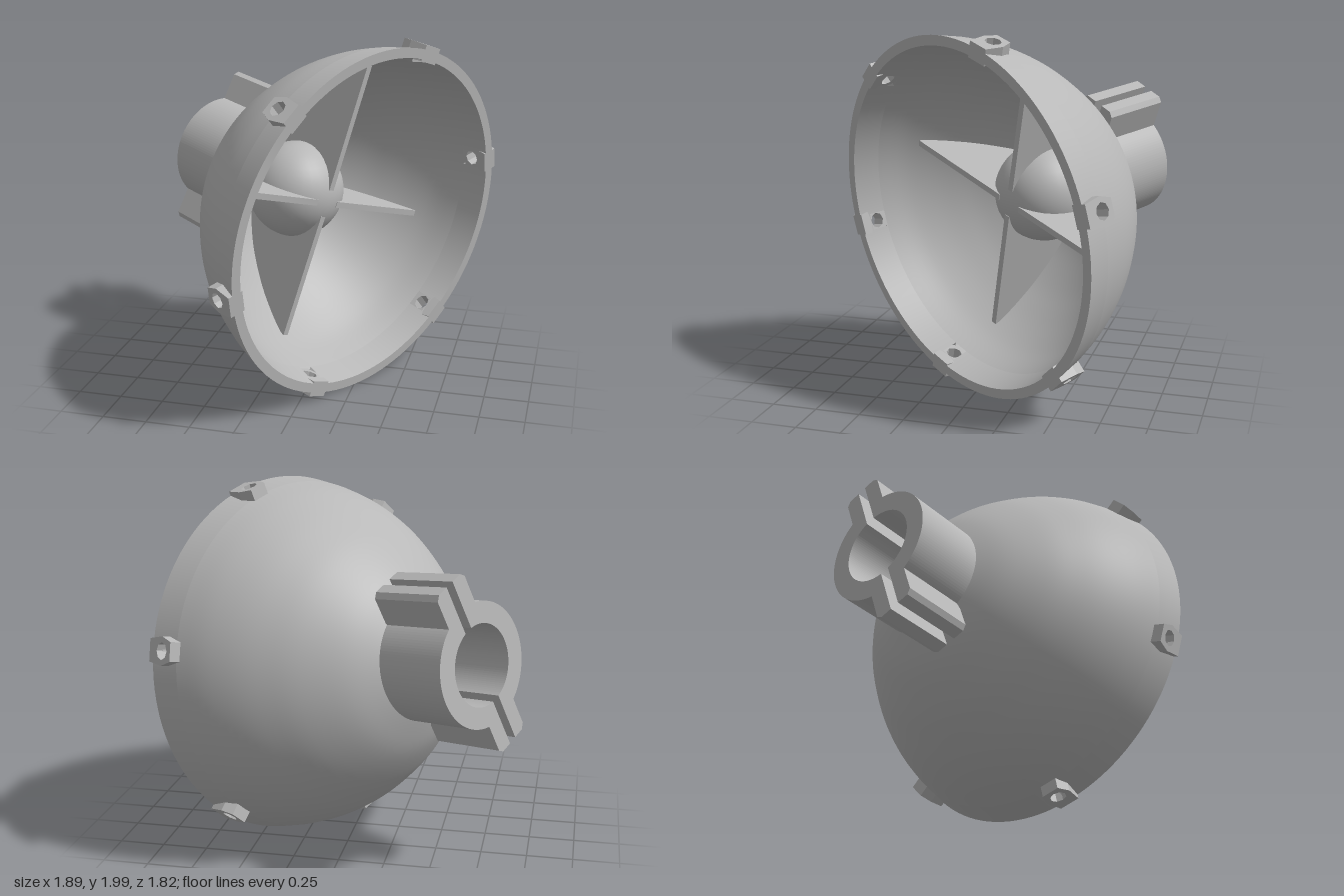
import * as THREE from 'three';

const metal = new THREE.MeshStandardMaterial({ color: 0xb8b8b8, side: THREE.DoubleSide });
metal.name = 'grey metal';
const deg = THREE.MathUtils.degToRad;
const V2 = (x, y) => new THREE.Vector2(x, y);

function part(name, geometry) {
  const mesh = new THREE.Mesh(geometry, metal);
  mesh.name = name;
  return mesh;
}

// Lathe turned so that its axis runs along local z; angles count from local +x.
// Profile edges stay sharp because each stretch is turned on its own.
function turned(name, stretches, start = 0, length = 360) {
  const group = new THREE.Group();
  group.name = name;
  for (const points of stretches) {
    const g = new THREE.LatheGeometry(points, length / 3, deg(start + 90), deg(length));
    g.rotateX(Math.PI / 2);
    group.add(part(name + 'Surface', g));
  }
  return group;
}

// Closed band between two depths behind the rim
const WALL = 0.055;
const rimRadius = (z) => 1 + 0.225 * z;
function band(name, z0, z1, start, length) {
  const a = V2(rimRadius(z0), z0), b = V2(rimRadius(z1), z1);
  const c = V2(b.x - WALL, z1), d = V2(a.x - WALL, z0);
  return turned(name, [[a, b], [b, c], [c, d], [d, a]], start, length);
}

export function createModel() {
  const model = new THREE.Group();
  model.name = 'reflectorLamp';

  // Local frame: z points out of the dish mouth, y is nearly up
  const n = new THREE.Vector3(0.836, -0.12, 0.542).normalize();
  const u = new THREE.Vector3(0, 1, 0).cross(n).normalize();
  const v = new THREE.Vector3().crossVectors(n, u);
  const lamp = new THREE.Group();
  lamp.name = 'lamp';
  lamp.quaternion.setFromRotationMatrix(new THREE.Matrix4().makeBasis(u, v, n));
  lamp.position.set(0.36, 1.0, 0.075);
  model.add(lamp);

  // Dish shell, from apex to just below the row of holes
  const outer = new THREE.SplineCurve([
    V2(0, -1.03), V2(0.17, -1.0), V2(0.33, -0.935), V2(0.48, -0.85), V2(0.64, -0.71),
    V2(0.75, -0.58), V2(0.84, -0.449), V2(0.915, -0.3), V2(rimRadius(-0.15), -0.15),
  ]).getPoints(32);
  const inner = new THREE.SplineCurve([
    V2(rimRadius(-0.15) - WALL, -0.15), V2(0.86, -0.3), V2(0.79, -0.43), V2(0.705, -0.55),
    V2(0.6, -0.67), V2(0.45, -0.8), V2(0.31, -0.885), V2(0.16, -0.95), V2(0, -0.98),
  ]).getPoints(32);
  lamp.add(turned('dish', [outer, inner]));

  // Rim ring and the wall pieces between the six holes
  lamp.add(band('rim', -0.06, 0, 0, 360));
  for (let i = 0; i < 6; i++) {
    const angle = 12 + i * 60;
    lamp.add(band('rimWall', -0.15, -0.06, angle + 3, 54));

    // Pierced lug around each hole, reaching forward to the rim
    const outline = new THREE.Shape([
      V2(-0.06, 0.1), V2(-0.075, 0), V2(-0.05, -0.07), V2(0.05, -0.07), V2(0.075, 0), V2(0.06, 0.1),
    ]);
    const hole = new THREE.Path();
    hole.absellipse(0, 0, 0.045, 0.042, 0, Math.PI * 2, true);
    outline.holes.push(hole);
    const g = new THREE.ExtrudeGeometry(outline, { depth: 0.09, bevelEnabled: false, curveSegments: 4 });
    // shape x -> tangent, shape y -> lamp axis, depth -> outwards
    g.applyMatrix4(new THREE.Matrix4().makeBasis(
      new THREE.Vector3(0, 1, 0), new THREE.Vector3(0, 0, 1), new THREE.Vector3(1, 0, 0)));
    g.translate(0.932, 0, -0.1);
    g.rotateZ(deg(angle));
    lamp.add(part('rimLug', g));
  }

  // Ball in the middle of the dish
  const ball = part('centreBall', new THREE.SphereGeometry(0.28, 32, 20));
  ball.position.z = -0.64;
  lamp.add(ball);

  // Four fins from the ball to the wall
  const finShape = new THREE.Shape([
    V2(0.08, -0.37), V2(0.815, -0.375), V2(0.79, -0.45), V2(0.725, -0.55),
    V2(0.62, -0.67), V2(0.47, -0.8), V2(0.33, -0.89), V2(0.08, -0.98),
  ]);
  for (let i = 0; i < 4; i++) {
    const g = new THREE.ExtrudeGeometry(finShape, { depth: 0.035, bevelEnabled: false });
    g.translate(0, 0, -0.0175);
    g.rotateX(Math.PI / 2);
    g.rotateZ(deg(73 + 90 * i));
    lamp.add(part('fin', g));
  }

  // Split clamp socket: two mirrored halves with ears at both ends
  const R = 0.32, r = 0.21, gap = 0.025, ear = 0.115, reach = 0.48;
  const outA = Math.acos(ear / R), inA = Math.acos(gap / r);
  const half = new THREE.Shape();
  half.moveTo(gap, r * Math.sin(inA));
  half.lineTo(gap, reach);
  half.lineTo(ear - 0.025, reach);
  half.lineTo(ear, reach - 0.025);
  half.lineTo(ear, R * Math.sin(outA));
  half.absarc(0, 0, R, outA, -outA, true);
  half.lineTo(ear, -reach + 0.025);
  half.lineTo(ear - 0.025, -reach);
  half.lineTo(gap, -reach);
  half.lineTo(gap, -r * Math.sin(inA));
  half.absarc(0, 0, r, -inA, inA, false);
  const clamp = new THREE.Group();
  clamp.name = 'socketClamp';
  for (const turn of [0, Math.PI]) {
    const g = new THREE.ExtrudeGeometry(half, { depth: 0.41, bevelEnabled: false, curveSegments: 28 });
    g.rotateZ(turn);
    clamp.add(part('clampHalf', g));
  }
  clamp.position.set(-0.015, 0.03, -1.34);
  clamp.rotation.z = deg(-25);
  lamp.add(clamp);

  return model;
}
